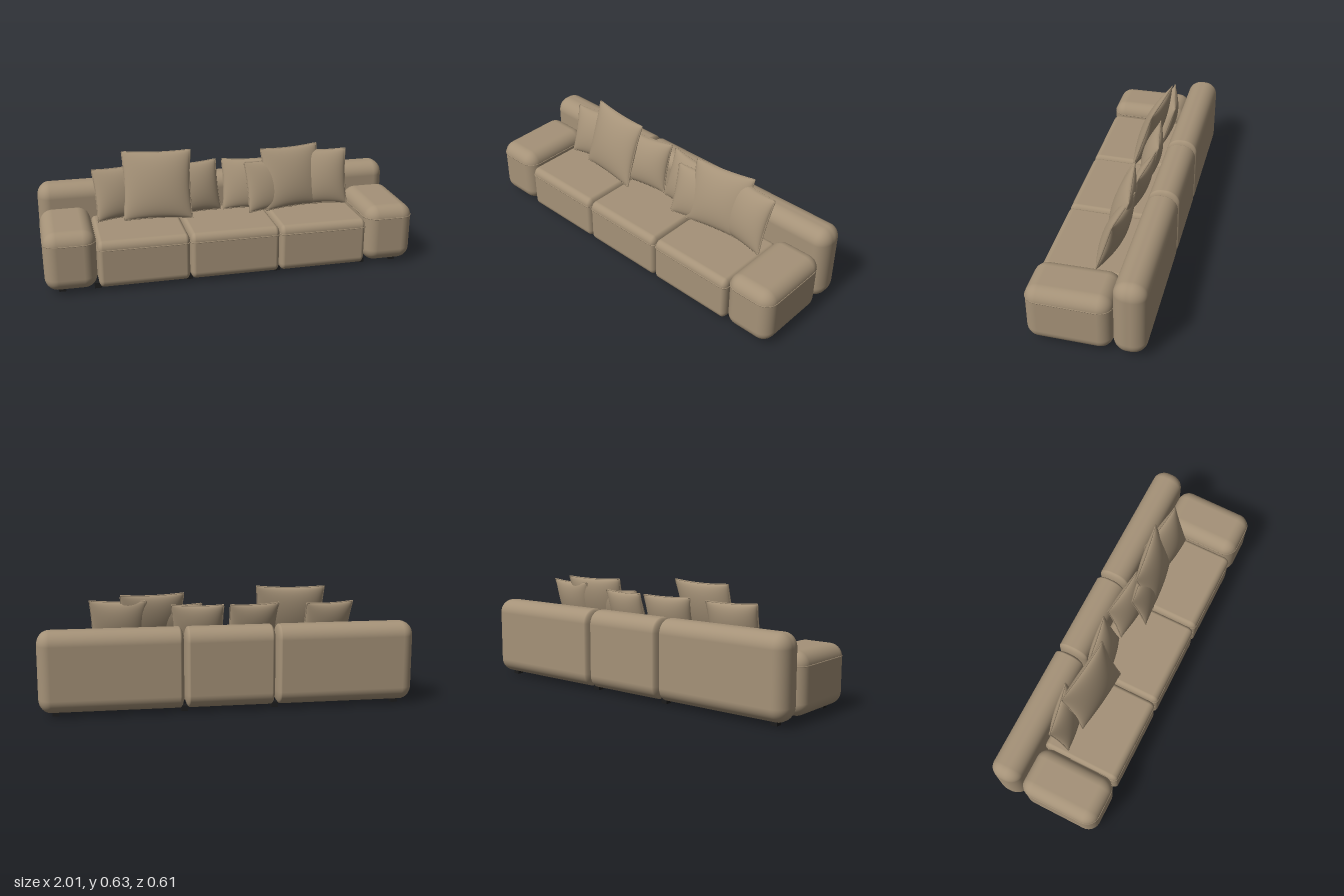
import * as THREE from 'three';
import { mergeGeometries } from 'three/addons/utils/BufferGeometryUtils.js';
import { RoundedBoxGeometry } from 'three/addons/geometries/RoundedBoxGeometry.js';

const fabric = new THREE.MeshStandardMaterial({ color: 0xa59278 });
fabric.name = 'taupe fabric';
const dark = new THREE.MeshStandardMaterial({ color: 0x1d1d1d });
dark.name = 'black feet';

function add(parent, name, geometry, material, x = 0, y = 0, z = 0) {
  const mesh = new THREE.Mesh(geometry, material);
  mesh.name = name;
  mesh.position.set(x, y, z);
  parent.add(mesh);
  return mesh;
}

// Upholstered block whose rounding differs per axis and per x end.
function block(x0, x1, y0, y1, z0, z1, rNeg, rPos, ry, rz, crown = 0) {
  const g = new RoundedBoxGeometry(4, 4, 4, 6, 1);
  const p = g.attributes.position, n = g.attributes.normal;
  const v = new THREE.Vector3();
  const end = (c, a, b, ra, rb) => (c > 0 ? b - rb + (c - 1) * rb : a + ra + (c + 1) * ra);
  for (let i = 0; i < p.count; i++) {
    const [x, y, z] = [p.getX(i), p.getY(i), p.getZ(i)];
    const rx = x > 0 ? rPos : rNeg;
    p.setXYZ(i, end(x, x0, x1, rNeg, rPos), end(y, y0, y1, ry, ry), end(z, z0, z1, rz, rz));
    if (crown && y > 1) p.setY(i, p.getY(i) - (z > 0 ? crown : 0));
    v.set(n.getX(i) / rx, n.getY(i) / ry, n.getZ(i) / rz).normalize();
    n.setXYZ(i, v.x, v.y, v.z);
  }
  return g;
}

function loopTube(points, radius, segments) {
  const curve = new THREE.CatmullRomCurve3(points, true, 'catmullrom', 0);
  return new THREE.TubeGeometry(curve, segments, radius, 5, true);
}

// Horizontal piping around a block.
function seam(x0, x1, y, z0, z1, r) {
  const pts = [];
  [[x1, z1, 1, 1], [x0, z1, -1, 1], [x0, z0, -1, -1], [x1, z0, 1, -1]].forEach(([x, z, sx, sz], k) => {
    for (let i = 0; i <= 5; i++) {
      const a = (k + i / 5) * Math.PI / 2;
      pts.push(new THREE.Vector3(x - sx * r + r * Math.cos(a), y, z - sz * r + r * Math.sin(a)));
    }
  });
  return loopTube(pts, 0.003, 140);
}

// Square pillow: two bulging faces meeting at a piped edge with pointed corners.
function pillow(w, h, t) {
  const outline = (u, v) => [
    w / 2 * u * (1 - 0.05 * (1 - v * v)),
    h / 2 * v * (1 - 0.05 * (1 - u * u)),
  ];
  const half = new THREE.PlaneGeometry(2, 2, 24, 24);
  const p = half.attributes.position;
  for (let i = 0; i < p.count; i++) {
    const u = Math.sin(p.getX(i) * Math.PI / 2), v = Math.sin(p.getY(i) * Math.PI / 2);
    const bulge = Math.pow(Math.max(0, (1 - u * u) * (1 - v * v)), 0.5);
    p.setXYZ(i, ...outline(u, v), t / 2 * bulge);
  }
  half.computeVertexNormals();
  const edge = [];
  const corners = [[-1, -1], [1, -1], [1, 1], [-1, 1]];
  corners.forEach(([u, v], k) => {
    const [u2, v2] = corners[(k + 1) % 4];
    for (let i = 0; i < 8; i++) {
      const s = i / 8;
      edge.push(new THREE.Vector3(...outline(u + (u2 - u) * s, v + (v2 - v) * s), 0));
    }
  });
  return mergeGeometries([half, half.clone().rotateY(Math.PI), loopTube(edge, 0.004, 96)]);
}

export function createModel() {
  const sofa = new THREE.Group();
  sofa.name = 'sofa';
  const cuts = [-0.728, -0.243, 0.243, 0.728];

  // Seat modules
  for (let i = 0; i < 3; i++) {
    const a = cuts[i] + 0.002, b = cuts[i + 1] - 0.002;
    add(sofa, 'seat', block(a, b, 0.02, 0.275, -0.135, 0.296, 0.025, 0.025, 0.04, 0.035), fabric);
    add(sofa, 'seatSeam', seam(a, b, 0.23, -0.135, 0.296, 0.025), fabric);
  }

  // Armrests
  for (const s of [-1, 1]) {
    const a = s > 0 ? 0.73 : -1, b = s > 0 ? 1 : -0.73;
    add(sofa, 'armrest', block(a, b, 0.02, 0.341, -0.135, 0.303, 0.068, 0.068, 0.068, 0.068, 0.005), fabric);
    add(sofa, 'armrestSeam', seam(a, b, 0.273, -0.135, 0.303, 0.068), fabric);
  }

  // Backrest modules, with softer outer ends
  const ends = [-1, cuts[1], cuts[2], 1];
  for (let i = 0; i < 3; i++) {
    const rNeg = i === 0 ? 0.065 : 0.025, rPos = i === 2 ? 0.065 : 0.025;
    add(sofa, 'backrest', block(ends[i] + (i ? 0.002 : 0), ends[i + 1] - (i < 2 ? 0.002 : 0),
      0.02, 0.45, -0.304, -0.134, rNeg, rPos, 0.075, 0.075), fabric);
  }

  // Pillows: x, bottom, top, z, width, thickness, yaw
  const pillows = [
    [-0.565, 0.278, 0.545, -0.072, 0.28, 0.1, 0.2],
    [-0.365, 0.278, 0.632, -0.025, 0.37, 0.105, -0.11],
    [-0.15, 0.278, 0.545, -0.07, 0.28, 0.1, 0.17],
    [0.15, 0.278, 0.545, -0.07, 0.28, 0.09, -0.12],
    [0.262, 0.278, 0.543, -0.02, 0.27, 0.085, 0.17],
    [0.4, 0.278, 0.605, -0.04, 0.345, 0.105, 0.15],
    [0.57, 0.278, 0.575, -0.05, 0.3, 0.105, -0.14],
  ];
  const tilt = 0.3;
  for (const [x, y0, y1, z, w, t, yaw] of pillows) {
    const m = add(sofa, 'pillow', pillow(w, (y1 - y0) / Math.cos(tilt), t), fabric, x, (y0 + y1) / 2, z);
    m.rotation.set(-tilt, yaw, 0, 'YXZ');
  }

  // Feet
  const foot = new THREE.BoxGeometry(0.036, 0.03, 0.036);
  for (const x of [-0.913, ...cuts, 0.913]) add(sofa, 'frontFoot', foot, dark, x, 0.015, 0.217);
  for (const x of [-0.913, cuts[1], cuts[2], 0.913]) add(sofa, 'backFoot', foot, dark, x, 0.015, -0.219);

  return sofa;
}
